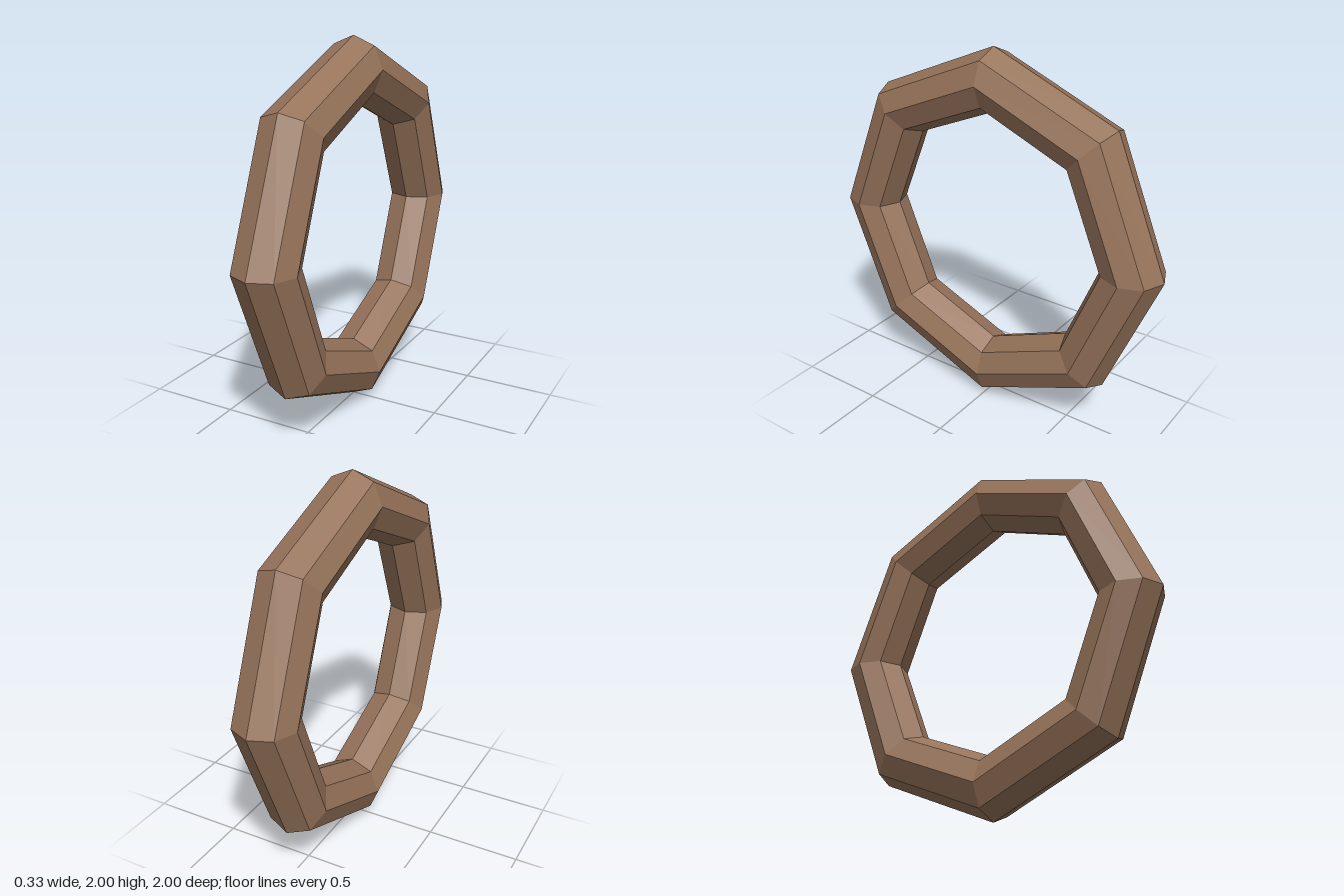
import * as THREE from 'three';

export function createModel() {
  const group = new THREE.Group();
  group.name = 'octagonalRing';

  // Eight-sided ring with an eight-sided section, standing upright in the YZ plane
  const outerRadius = 1;
  const tubeRadius = outerRadius / 6;
  const geometry = new THREE.TorusGeometry(outerRadius - tubeRadius, tubeRadius, 8, 8);
  geometry.rotateY(Math.PI / 2);

  const material = new THREE.MeshStandardMaterial({ color: 0x96735a, flatShading: true });
  const ring = new THREE.Mesh(geometry, material);
  ring.name = 'ring';
  ring.position.y = outerRadius;
  group.add(ring);

  return group;
}
